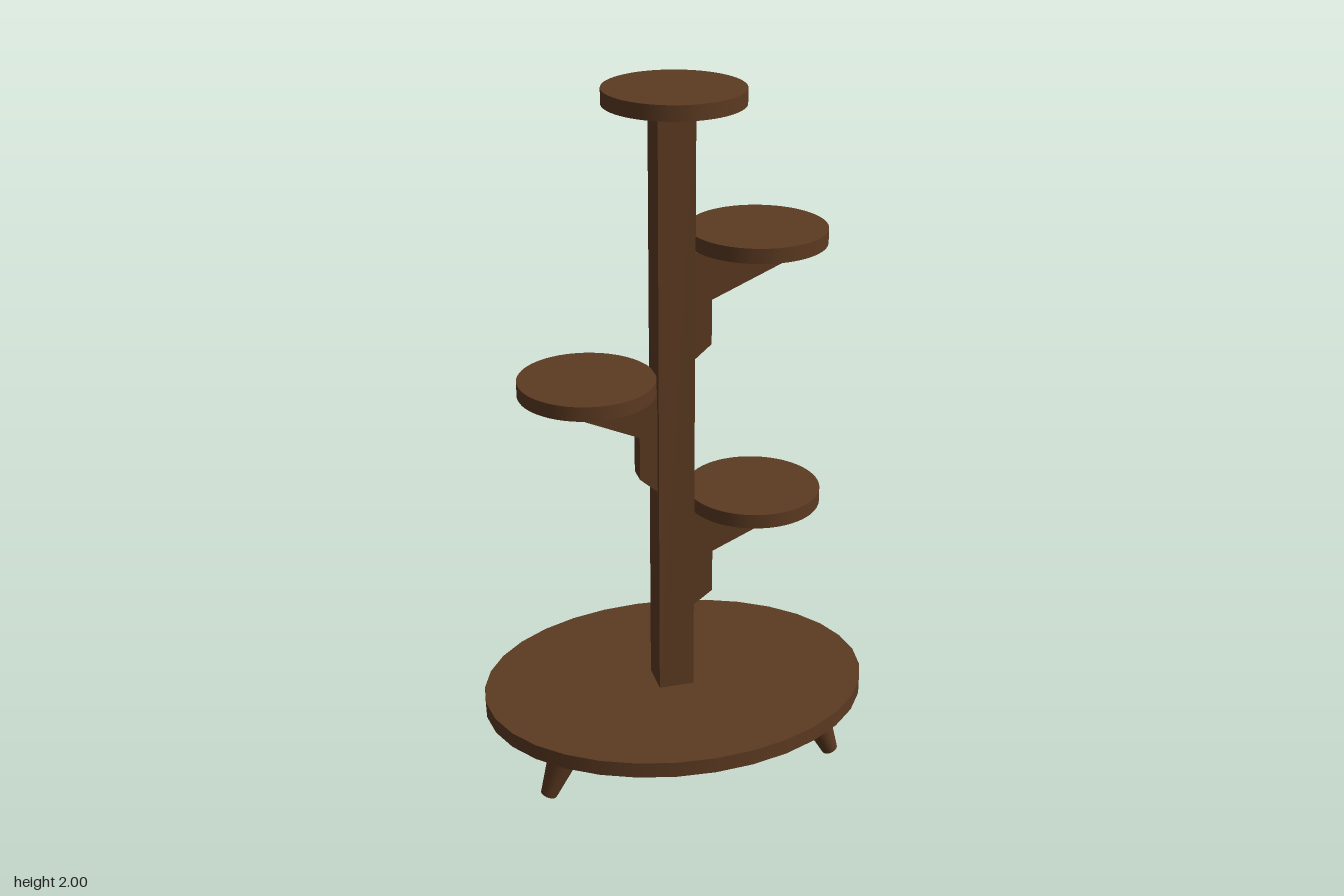
import * as THREE from 'three';

export function createModel() {
  const model = new THREE.Group();
  model.name = 'tieredStand';
  const wood = new THREE.MeshStandardMaterial({ color: 0x5c3a21 });
  wood.name = 'brown wood';

  const add = (name, geometry, x, y, z) => {
    const mesh = new THREE.Mesh(geometry, wood);
    mesh.name = name;
    mesh.position.set(x, y, z);
    model.add(mesh);
    return mesh;
  };

  // Oval base board
  add('base', new THREE.CylinderGeometry(1, 1, 0.047, 32), 0, 0.1835, 0).scale.set(0.572, 1, 0.445);

  // Square post
  add('post', new THREE.BoxGeometry(0.104, 1.76, 0.104), -0.007, 1.085, 0.002);

  // Round shelves: centre x and top height
  const shelf = new THREE.CylinderGeometry(0.193, 0.193, 0.042, 64);
  for (const [name, x, top] of [
    ['topShelf', 0, 2], ['upperShelf', 0.237, 1.602],
    ['middleShelf', -0.25, 1.205], ['lowerShelf', 0.237, 0.817],
  ]) add(name, shelf, x, top - 0.021, 0);

  // Stepped brackets: side, post face, reach of the arm, width of the foot, top height
  const bracket = (name, side, face, reach, foot, top) => {
    const profile = [
      [face - 0.02, 0], [reach, 0], [reach, -0.042], [foot, -0.138],
      [foot, -0.268], [face, -0.312], [face - 0.02, -0.312],
    ].map(([x, y]) => new THREE.Vector2(side * x, y));
    const geometry = new THREE.ExtrudeGeometry(new THREE.Shape(profile), { depth: 0.06, bevelEnabled: false });
    add(name, geometry, 0, top, -0.022);
  };
  bracket('upperBracket', 1, 0.045, 0.317, 0.097, 1.554);
  bracket('middleBracket', -1, 0.059, 0.332, 0.11, 1.164);
  bracket('lowerBracket', 1, 0.045, 0.323, 0.105, 0.776);

  // Tapered legs splayed to the sides, tops sunk into the base
  const up = new THREE.Vector3(0, 1, 0);
  for (const [topX, footX] of [[0.36, 0.427], [-0.372, -0.435]]) {
    for (const z of [0.212, -0.175]) {
      const foot = new THREE.Vector3(footX, 0.008, z);
      const axis = new THREE.Vector3(topX, 0.175, z).sub(foot);
      const leg = add('leg', new THREE.CylinderGeometry(0.052, 0.024, axis.length(), 24), 0, 0, 0);
      leg.position.copy(foot).addScaledVector(axis, 0.5);
      leg.quaternion.setFromUnitVectors(up, axis.normalize());
    }
  }
  return model;
}
